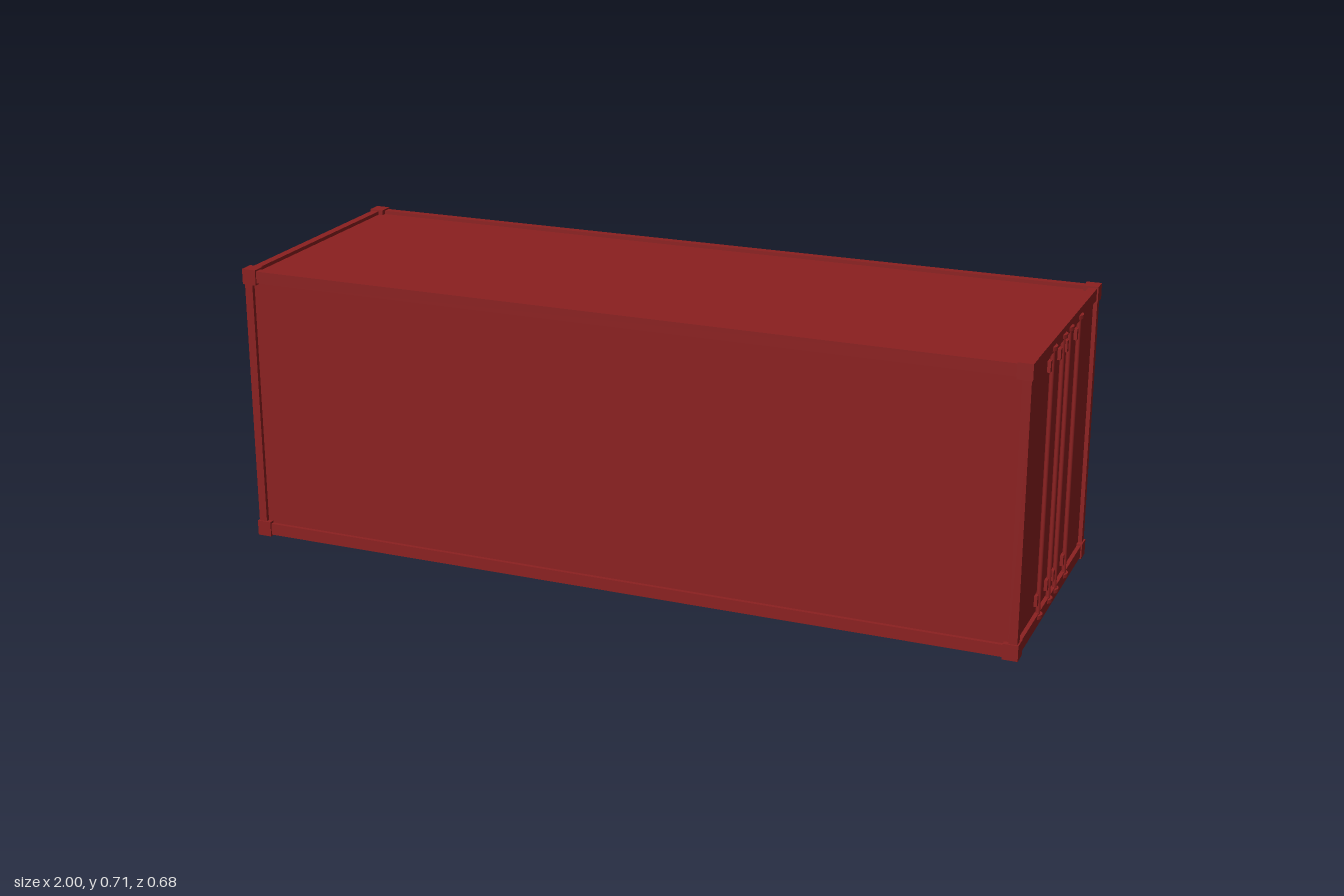
import * as THREE from 'three';

export function createModel() {
  const model = new THREE.Group();
  model.name = 'shippingContainer';
  const paint = new THREE.MeshStandardMaterial({ color: 0x8b2020 });

  const add = (name, geometry, x, y, z, parent = model) => {
    const mesh = new THREE.Mesh(geometry, paint);
    mesh.name = name;
    mesh.position.set(x, y, z);
    parent.add(mesh);
    return mesh;
  };
  // Box given by its minimum and maximum corners
  const box = (name, [x0, y0, z0], [x1, y1, z1], parent) =>
    add(name, new THREE.BoxGeometry(x1 - x0, y1 - y0, z1 - z0),
      (x0 + x1) / 2, (y0 + y1) / 2, (z0 + z1) / 2, parent);

  const X = 0.992, Z = 0.337, Y0 = 0.004, Y1 = 0.704; // outer frame
  const rail = 0.03, post = 0.021;

  // Recessed walls, doors, roof and floor
  box('body', [-0.982, 0.008, -0.327], [0.982, 0.695, 0.327]);

  // Long rails, front and back
  for (const s of [-1, 1]) {
    const z = [s * Z, s * (Z - post)].sort((a, b) => a - b);
    box('lowerSideRail', [-X, Y0, z[0]], [X, Y0 + rail, z[1]]);
    box('upperSideRail', [-X, Y1 - rail, z[0]], [X, Y1, z[1]]);
  }

  // Each end: rails, posts, corner castings and door locking gear
  for (const s of [-1, 1]) {
    const end = new THREE.Group();
    end.name = s > 0 ? 'leftEnd' : 'rightEnd';
    if (s < 0) end.rotation.y = Math.PI;
    model.add(end);

    box('lowerEndRail', [X - post, Y0, -Z + post], [X, Y0 + rail, Z - post], end);
    box('upperEndRail', [X - post, Y1 - rail, -Z + post], [X, Y1, Z - post], end);

    for (const side of [-1, 1]) {
      const pz = side * (Z - post / 2);
      box('cornerPost', [X - post, Y0 + rail, pz - post / 2], [X, Y1 - rail, pz + post / 2], end);
      for (const y of [0.0195, 0.6885]) {
        add('cornerCasting', new THREE.BoxGeometry(0.037, 0.039, 0.038), 0.977, y, side * 0.322, end);
      }
    }

    for (const z of [-0.131, -0.032, 0.032, 0.131]) {
      add('lockingRod', new THREE.CylinderGeometry(0.0055, 0.0055, 0.65, 12), 0.989, 0.355, z, end);
      for (const y of [0.0265, 0.6835]) {
        add('lockingCam', new THREE.CylinderGeometry(0.022, 0.022, 0.009, 16), 0.978, y, z, end);
      }
      for (const y of [0.068, 0.642]) {
        add('rodBracket', new THREE.BoxGeometry(0.012, 0.027, 0.036), 0.984, y, z, end);
      }
    }
  }
  return model;
}
